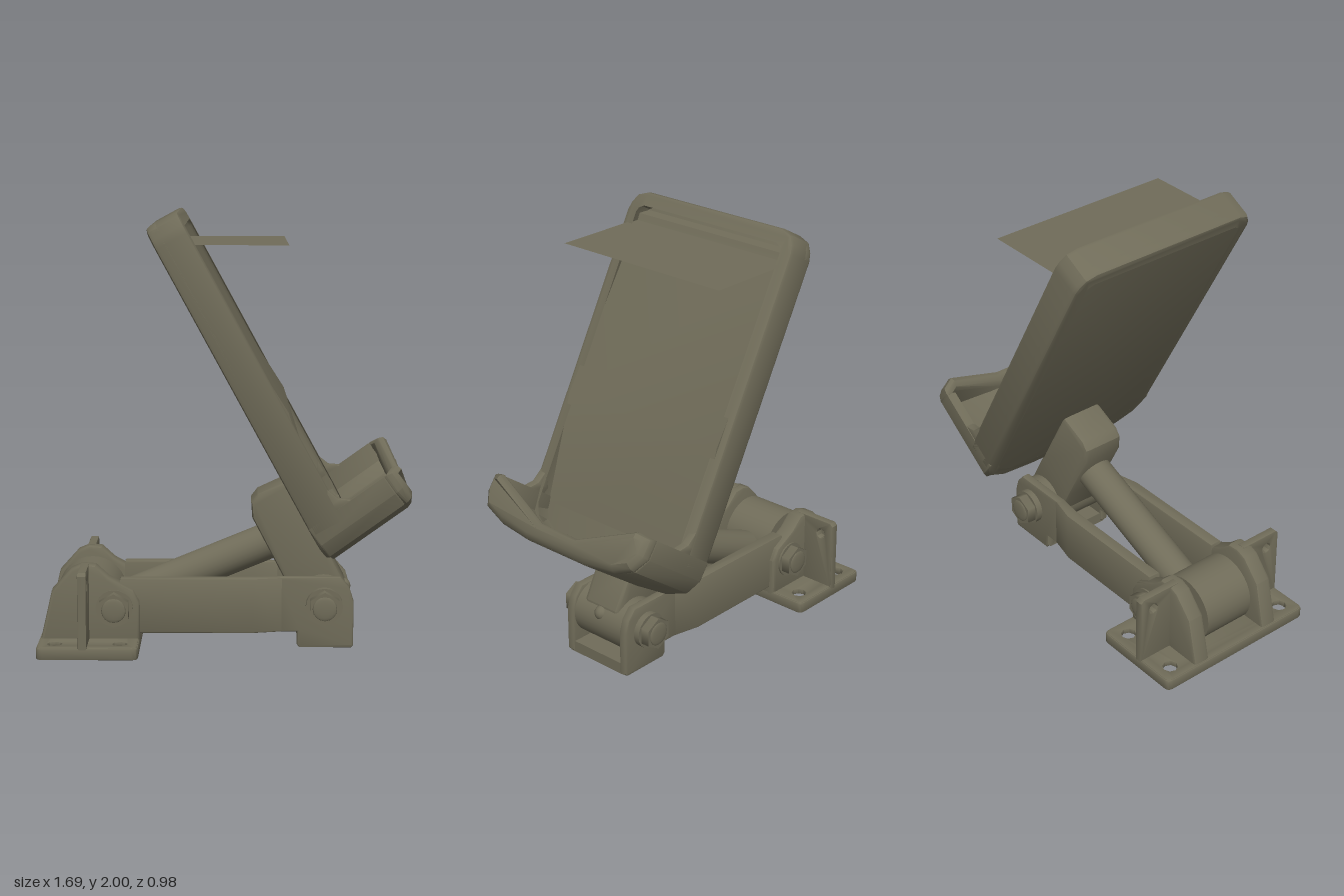
import * as THREE from 'three';
import { toCreasedNormals } from 'three/addons/utils/BufferGeometryUtils.js';

const olive = new THREE.MeshStandardMaterial({ color: 0x706c59, side: THREE.DoubleSide });
olive.name = 'olive grey';

const V = (x, y, z) => new THREE.Vector3(x, y, z);
const shapeOf = (pts) => new THREE.Shape(pts.map(([x, y]) => new THREE.Vector2(x, y)));
// Closed outline from one half, mirrored over y = 0
const mirrored = (half) => shapeOf([...half, ...half.map(([x, y]) => [x, -y]).reverse()]);

// Rectangle with rounded corners of radius r
function roundRect(path, x0, x1, h, r) {
  path.moveTo(x0 + r, -h);
  path.lineTo(x1 - r, -h);
  path.quadraticCurveTo(x1, -h, x1, -h + r);
  path.lineTo(x1, h - r);
  path.quadraticCurveTo(x1, h, x1 - r, h);
  path.lineTo(x0 + r, h);
  path.quadraticCurveTo(x0, h, x0, h - r);
  path.lineTo(x0, -h + r);
  path.quadraticCurveTo(x0, -h, x0 + r, -h);
  return path;
}

function circleHole(x, y, r) {
  const p = new THREE.Path();
  p.absarc(x, y, r, 0, Math.PI * 2, true);
  return p;
}

// Extrusion from depth a to b with rounded edges kept inside the outline
function slab(shape, a, b, bevel = 0.012, curveSegments = 4) {
  const g = new THREE.ExtrudeGeometry(shape, {
    depth: b - a - 2 * bevel, bevelEnabled: bevel > 0, bevelThickness: bevel,
    bevelSize: bevel, bevelOffset: -bevel, bevelSegments: 2, curveSegments,
  });
  g.translate(0, 0, a + bevel);
  return toCreasedNormals(g, 0.6);
}

function add(parent, name, geometry) {
  const m = new THREE.Mesh(geometry, olive);
  m.name = name;
  parent.add(m);
  return m;
}

function rod(parent, name, a, b, r, sides = 24) {
  const d = b.clone().sub(a);
  const m = add(parent, name, new THREE.CylinderGeometry(r, r, d.length(), sides));
  m.position.copy(a).add(b).multiplyScalar(0.5);
  m.quaternion.setFromUnitVectors(V(0, 1, 0), d.normalize());
}

// Group whose axes are two slanted directions in the side plane and the width
function frame(parent, name, origin, xAxis, yAxis, zAxis) {
  const g = new THREE.Group();
  g.name = name;
  g.applyMatrix4(new THREE.Matrix4().makeBasis(xAxis, yAxis, zAxis).setPosition(origin));
  parent.add(g);
  return g;
}

function addBolt(parent, x, y, side, z) {
  rod(parent, 'boltShank', V(x, y, side * (z - 0.06)), V(x, y, side * z), 0.085, 20);
  rod(parent, 'boltHead', V(x, y, side * z), V(x, y, side * (z + 0.045)), 0.077, 6);
  const dome = add(parent, 'boltDome', new THREE.SphereGeometry(0.056, 16, 8));
  dome.position.set(x, y, side * (z + 0.045));
  dome.scale.z = 0.15;
}

function addBase(parent) {
  // Mounting plate: rim hollow underneath, with four screw holes
  const rim = roundRect(new THREE.Shape(), -0.85, -0.39, 0.42, 0.03);
  rim.holes.push(roundRect(new THREE.Path(), -0.825, -0.415, 0.395, 0.03));
  const top = roundRect(new THREE.Shape(), -0.845, -0.395, 0.415, 0.03);
  for (const x of [-0.77, -0.475]) for (const z of [-0.34, 0.34]) top.holes.push(circleHole(x, z, 0.035));
  add(parent, 'basePlateRim', slab(rim, -0.055, 0, 0.008).rotateX(Math.PI / 2));
  add(parent, 'basePlate', slab(top, -0.057, -0.03, 0.004).rotateX(Math.PI / 2));

  const ear = shapeOf([[-0.845, 0.04], [-0.39, 0.04], [-0.39, 0.225], [-0.42, 0.28], [-0.53, 0.34],
    [-0.59, 0.395], [-0.65, 0.4], [-0.7, 0.38], [-0.79, 0.28]]);
  const rib = shapeOf([[0.2, 0.04], [0.42, 0.04], [0.42, 0.385], [0.405, 0.4], [0.2, 0.4]]);
  rib.holes.push(circleHole(0.348, 0.327, 0.025));
  for (const side of [-1, 1]) {
    const [a, b] = side > 0 ? [0.165, 0.25] : [-0.25, -0.165];
    add(parent, 'baseEar', slab(ear, a, b, 0.015));
    // Upright rib across each side of the plate
    const r = add(parent, 'baseRib', slab(rib, -0.02, 0.02, 0.006));
    r.rotation.y = -side * Math.PI / 2;
    r.position.x = -0.64;
    addBolt(parent, -0.505, 0.2, side, 0.258);
  }
  // Drum between the ears
  rod(parent, 'rearDrum', V(-0.63, 0.2, -0.13), V(-0.63, 0.2, 0.13), 0.16, 32);
  rod(parent, 'rearAxle', V(-0.63, 0.2, -0.17), V(-0.63, 0.2, 0.17), 0.1);
}

function addArm(parent) {
  const wall = shapeOf([[0.345, 0], [0.58, 0], [0.59, 0.01], [0.59, 0.22], [0.57, 0.285], [0.53, 0.33],
    [0.24, 0.33], [0.24, 0.075], [0.33, 0.075], [0.33, 0.015]]);
  for (const side of [-1, 1]) {
    // Side bar with a slight inward bend
    const bar = shapeOf([[-0.48, 0.16], [-0.48, 0.22], [0.13, 0.22], [0.26, 0.19], [0.26, 0.145], [0.13, 0.16]]
      .map(([x, z]) => [x, side * z]));
    add(parent, 'sideBar', slab(bar, -0.33, -0.075, 0.008).rotateX(Math.PI / 2));
    const [a, b] = side > 0 ? [0.145, 0.19] : [-0.19, -0.145];
    add(parent, 'forkWall', slab(wall, a, b, 0.01));
    addBolt(parent, 0.455, 0.2, side, 0.22);
  }
  const floor = add(parent, 'forkFloor', new THREE.BoxGeometry(0.25, 0.055, 0.34));
  floor.position.set(0.461, 0.029, 0);

  // Front pivot, its small knob and the diagonal strut
  rod(parent, 'frontBarrel', V(0.455, 0.2, -0.147), V(0.455, 0.2, 0.147), 0.128, 32);
  const knob = add(parent, 'pivotKnob', new THREE.SphereGeometry(0.036, 14, 10));
  knob.position.set(0.55, 0.25, 0);
  rod(parent, 'strut', V(-0.6, 0.135, 0), V(0.25, 0.485, 0), 0.085);

  const knuckle = shapeOf([[0.355, 0.14], [0.55, 0.2], [0.555, 0.29], [0.47, 0.45], [0.31, 0.77],
    [0.28, 0.76], [0.15, 0.7], [0.12, 0.66], [0.125, 0.59], [0.26, 0.33]]);
  add(parent, 'knuckle', slab(knuckle, -0.108, 0.108, 0.02));
}

function addCradle(parent) {
  // Slanted back panel with a raised rim, its lower corners cut like the tray
  const s = V(0.478, -0.878, 0).normalize(), d = V(-s.y, s.x, 0), w = V(0, 0, -1);
  const back = frame(parent, 'cradleBack', V(-0.347, 1.927, 0), s, w, d);
  const half = [[0, 0.4], [0.02, 0.455], [0.06, 0.48], [0.1, 0.49],
    [1.53, 0.49], [1.62, 0.45], [1.68, 0.35], [1.7, 0.18]];
  const rim = mirrored(half);
  rim.holes.push(mirrored([[0.05, 0.4], [0.07, 0.435], [0.1, 0.448],
    [1.53, 0.448], [1.595, 0.415], [1.645, 0.33], [1.66, 0.18]]));
  add(back, 'backRim', slab(rim, 0, 0.16, 0.018));
  add(back, 'backPanel', slab(mirrored(half), 0.001, 0.07, 0.018));

  // Inner surface, folded outward where it meets the tray
  const lining = shapeOf([[-0.29, 1.9], [-0.2, 1.89], [-0.185, 1.86], [0.28, 1.13], [0.47, 0.53], [0.45, 0.5]]);
  add(parent, 'backLining', slab(lining, -0.455, 0.455, 0));
  const flap = add(parent, 'topFlap', new THREE.PlaneGeometry(0.47, 0.92));
  flap.rotation.x = -Math.PI / 2;
  flap.position.set(0.045, 1.86, 0);

  // Tray: a wide trough closed by a scooped lip
  const u = V(0.812, 0.584, 0).normalize(), v = V(-u.y, u.x, 0);
  const tray = frame(parent, 'cradleTray', V(0.53, 0.457, 0), w, v, u);
  const outer = [[-0.49, 0.22], [-0.49, 0.13], [-0.45, 0.06], [-0.35, 0.02], [-0.18, 0],
    [0.18, 0], [0.35, 0.02], [0.45, 0.06], [0.49, 0.13], [0.49, 0.22]];
  const inner = [[0.445, 0.22], [0.435, 0.13], [0.37, 0.075], [0.18, 0.055],
    [-0.18, 0.055], [-0.37, 0.075], [-0.435, 0.13], [-0.445, 0.22]];
  add(tray, 'trayTrough', slab(shapeOf([...outer, ...inner]), -0.04, 0.37, 0.008));

  // The lip leans out towards its top and curves back at its corners
  const lip = slab(shapeOf([...outer, [0.42, 0.225], [0.11, 0.092], [-0.11, 0.092], [-0.42, 0.225]]),
    0.395, 0.462, 0.03);
  const p = lip.attributes.position;
  for (let i = 0; i < p.count; i++) {
    const lean = 0.45 * Math.max(0, 0.16 - p.getY(i));
    const corner = 0.6 * Math.max(0, Math.abs(p.getX(i)) - 0.4);
    p.setZ(i, p.getZ(i) - Math.max(lean, corner));
  }
  add(tray, 'trayLip', toCreasedNormals(lip, 0.6));

  // Small fillets where the tray walls run into the rim
  const fillet = shapeOf([[0.45, 0.79], [0.5, 0.75], [0.56, 0.745], [0.5, 0.66], [0.44, 0.7]]);
  for (const z of [-0.487, 0.447]) add(parent, 'trayFillet', slab(fillet, z, z + 0.04, 0.004));
}

export function createModel() {
  const model = new THREE.Group();
  model.name = 'tiltingHolder';
  addBase(model);
  addArm(model);
  addCradle(model);
  return model;
}
